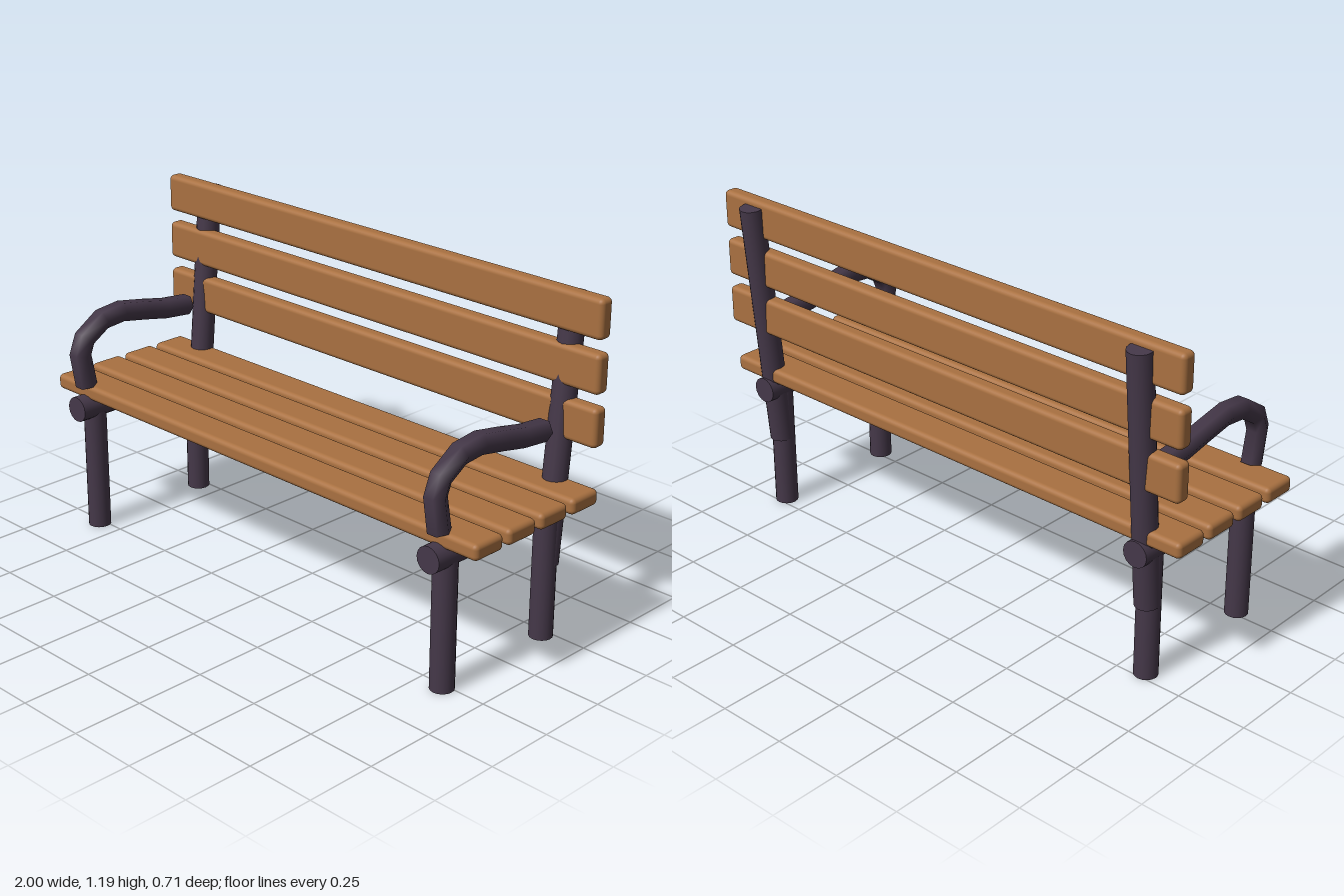
import * as THREE from 'three';
import { RoundedBoxGeometry } from 'three/addons/geometries/RoundedBoxGeometry.js';

const wood = new THREE.MeshStandardMaterial({ color: 0xa97141 });
wood.name = 'warm wood';
const metal = new THREE.MeshStandardMaterial({ color: 0x453849 });
metal.name = 'dark painted metal';

function add(parent, name, geometry, material) {
  const mesh = new THREE.Mesh(geometry, material);
  mesh.name = name;
  parent.add(mesh);
  return mesh;
}

// Round bar between two [y, z] points
function bar(parent, name, [y0, z0], [y1, z1], radius) {
  const a = new THREE.Vector3(0, y0, z0);
  const b = new THREE.Vector3(0, y1, z1);
  const mesh = add(parent, name, new THREE.CylinderGeometry(radius, radius, a.distanceTo(b), 16), metal);
  mesh.position.copy(a).lerp(b, 0.5);
  mesh.quaternion.setFromUnitVectors(new THREE.Vector3(0, 1, 0), b.sub(a).normalize());
}

// Six-sided bent tube with closed ends
function armrest(parent) {
  const points = [
    [0.557, 0.3], [0.677, 0.321], [0.733, 0.299], [0.785, 0.218],
    [0.794, 0.131], [0.775, 0.025], [0.755, -0.073], [0.744, -0.182],
  ].map(([y, z]) => new THREE.Vector3(0, y, z));
  const curve = new THREE.CatmullRomCurve3(points);
  // Put one ring on each control point
  curve.getPointAt = (t, target) => curve.getPoint(t, target);
  curve.getTangentAt = (t, target) => curve.getTangent(t, target);
  const radius = 0.039;
  const group = new THREE.Group();
  group.name = 'armrest';
  add(group, 'armrestTube', new THREE.TubeGeometry(curve, points.length - 1, radius, 6), metal);
  [0, 1].forEach((t) => {
    const cap = add(group, 'armrestEnd', new THREE.CircleGeometry(radius, 6), metal);
    const outward = curve.getTangent(t).multiplyScalar(t ? 1 : -1);
    cap.position.copy(points[t ? points.length - 1 : 0]);
    cap.lookAt(cap.position.clone().add(outward));
  });
  parent.add(group);
}

export function createModel() {
  const bench = new THREE.Group();
  bench.name = 'bench';

  // Metal frame at each end
  for (const side of [1, -1]) {
    const frame = new THREE.Group();
    frame.name = side > 0 ? 'leftFrame' : 'rightFrame';
    frame.position.x = side * 0.845;
    bar(frame, 'frontLeg', [0, 0.267], [0.47, 0.267], 0.041);
    bar(frame, 'rearLeg', [0, -0.22], [0.47, -0.22], 0.041);
    bar(frame, 'seatRail', [0.474, 0.348], [0.474, -0.3], 0.046);
    bar(frame, 'backPost', [0.265, -0.228], [1.172, -0.31], 0.0425);
    armrest(frame);
    bench.add(frame);
  }

  // Seat slats
  for (let i = 0; i < 4; i++) {
    const slat = add(bench, 'seatSlat', new RoundedBoxGeometry(2, 0.056, 0.13, 3, 0.017), wood);
    slat.position.set(0, 0.531, 0.243 - i * 0.1533);
  }

  // Backrest slats
  for (let i = 0; i < 3; i++) {
    const slat = add(bench, 'backSlat', new RoundedBoxGeometry(2, 0.135, 0.056, 3, 0.017), wood);
    slat.position.set(0, 0.768 + i * 0.1795, -0.272);
  }

  return bench;
}
